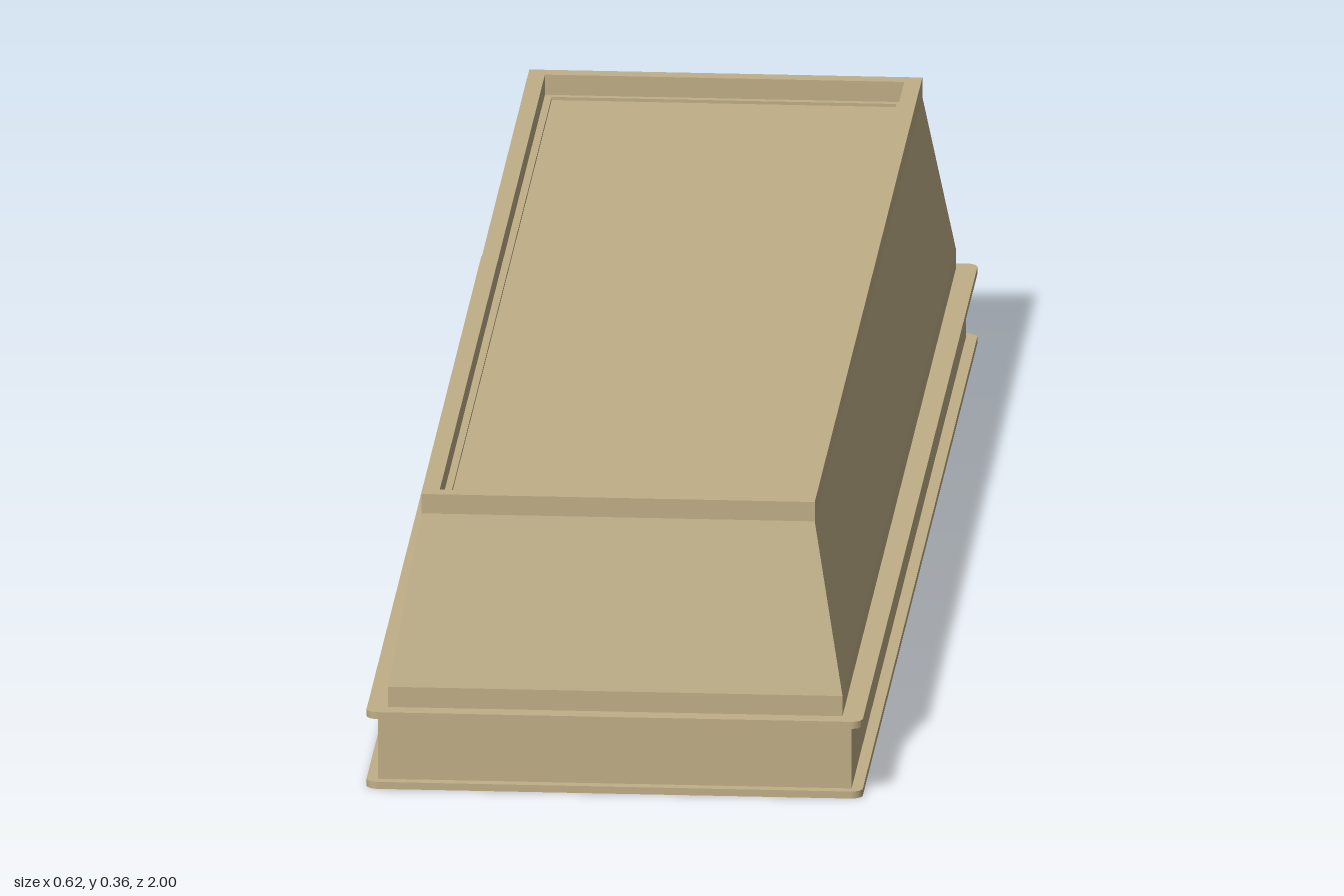
import * as THREE from 'three';

const tan = new THREE.MeshStandardMaterial({ color: 0xc0af87 });
tan.name = 'tan';

// Sweeps a rectangular loop through [halfX, halfZ, y] sections; faces are flat.
// Sections run up the outside and down the inside so faces point outward.
function rectLoft(name, sections) {
  const pos = [];
  const corners = ([x, z, y]) => [[x, y, z], [x, y, -z], [-x, y, -z], [-x, y, z]];
  for (let i = 0; i < sections.length - 1; i++) {
    const lower = corners(sections[i]);
    const upper = corners(sections[i + 1]);
    for (let k = 0; k < 4; k++) {
      const n = (k + 1) % 4;
      pos.push(...lower[k], ...lower[n], ...upper[n], ...lower[k], ...upper[n], ...upper[k]);
    }
  }
  const geo = new THREE.BufferGeometry();
  geo.setAttribute('position', new THREE.Float32BufferAttribute(pos, 3));
  geo.computeVertexNormals();
  const mesh = new THREE.Mesh(geo, tan);
  mesh.name = name;
  return mesh;
}

// Thin rounded-corner frame lying flat, with a rectangular opening.
function flange(name, hx, hz, inX, inZ, y, height) {
  const r = 0.015;
  const s = new THREE.Shape();
  s.moveTo(hx, -hz + r);
  s.absarc(hx - r, hz - r, r, 0, Math.PI / 2);
  s.absarc(-hx + r, hz - r, r, Math.PI / 2, Math.PI);
  s.absarc(-hx + r, -hz + r, r, Math.PI, Math.PI * 1.5);
  s.absarc(hx - r, -hz + r, r, Math.PI * 1.5, Math.PI * 2);
  const hole = new THREE.Path();
  hole.moveTo(-inX, -inZ);
  hole.lineTo(-inX, inZ);
  hole.lineTo(inX, inZ);
  hole.lineTo(inX, -inZ);
  hole.closePath();
  s.holes.push(hole);
  const geo = new THREE.ExtrudeGeometry(s, { depth: height, bevelEnabled: false, curveSegments: 6 });
  geo.rotateX(-Math.PI / 2);
  const mesh = new THREE.Mesh(geo, tan);
  mesh.name = name;
  mesh.position.y = y;
  return mesh;
}

export function createModel() {
  const model = new THREE.Group();
  model.name = 'steppedPlinth';

  // Hollow base band between two projecting flanges
  model.add(
    flange('bottomFlange', 0.308, 1, 0.282, 0.974, 0, 0.009),
    rectLoft('baseBand', [
      [0.294, 0.986, 0.009], [0.294, 0.986, 0.091],
    ]),
    rectLoft('baseInnerWall', [
      [0.282, 0.974, 0.091], [0.282, 0.974, 0.009],
    ]),
    flange('upperFlange', 0.308, 1, 0.264, 0.956, 0.09, 0.009),
  );

  // Tapered body with straight foot, straight rim and a stepped recess on top
  model.add(rectLoft('taperedBody', [
    [0.282, 0.976, 0.098], [0.282, 0.976, 0.125],
    [0.244, 0.926, 0.335], [0.244, 0.926, 0.36],
    [0.223, 0.905, 0.36], [0.223, 0.905, 0.334],
    [0.214, 0.896, 0.334], [0.214, 0.896, 0.33],
    [0, 0, 0.33],
  ]));

  // Underside: short inner wall and flat ceiling
  model.add(rectLoft('undersideCeiling', [
    [0, 0, 0.125], [0.264, 0.956, 0.125], [0.264, 0.956, 0.098],
  ]));

  return model;
}
